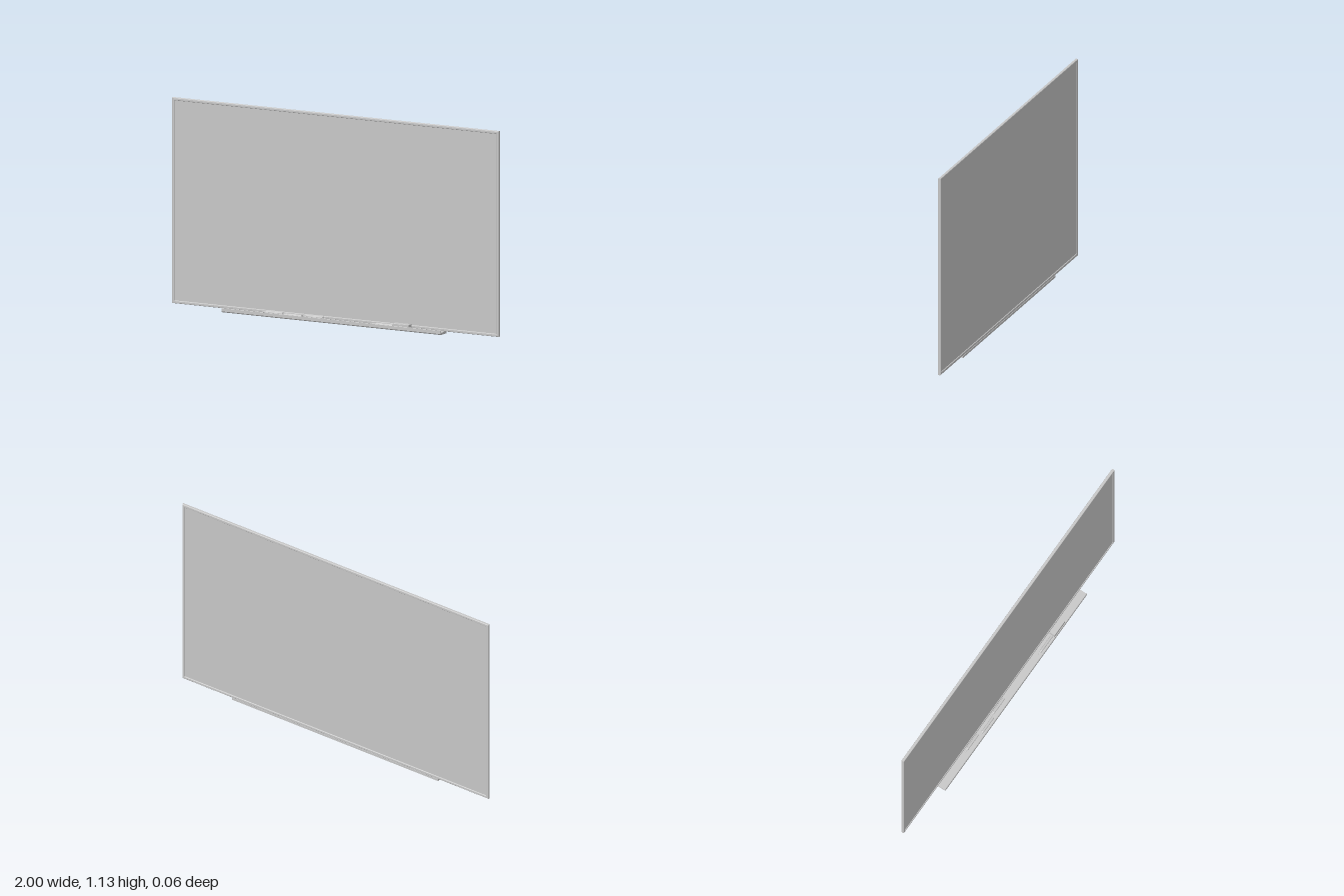
import * as THREE from 'three';

export function createModel() {
  const model = new THREE.Group();
  const grey = new THREE.MeshStandardMaterial({ color: 0xc7c7c7 });
  grey.name = 'light grey';

  const add = (name, geometry, x = 0, y = 0, z = 0) => {
    const mesh = new THREE.Mesh(geometry, grey);
    mesh.name = name;
    mesh.position.set(x, y, z);
    model.add(mesh);
    return mesh;
  };
  const polygon = (points) => points.map(([x, y]) => new THREE.Vector2(x, y));
  const rectangle = (x, y0, y1) => polygon([[-x, y0], [x, y0], [x, y1], [-x, y1]]);

  // Frame around the writing panel, with rounded edges
  const bottom = 0.012, top = 1.127, rim = 0.016, round = 0.004;
  const outer = round, inner = rim - round;
  const outline = new THREE.Shape(rectangle(1 - outer, bottom + outer, top - outer));
  outline.holes.push(new THREE.Path(rectangle(1 - inner, bottom + inner, top - inner)));
  add('frame', new THREE.ExtrudeGeometry(outline, {
    depth: 0.008, bevelThickness: round, bevelSize: round, bevelSegments: 3,
  }), 0, 0, -0.027);

  // Panel, recessed a little on both sides
  add('writingPanel', new THREE.BoxGeometry(2 - rim * 2, top - bottom - rim * 2, 0.008),
    0, (top + bottom) / 2, -0.023);

  // Tray: a side profile (z, y) swept along x, with a thin raised front lip
  const trayProfile = new THREE.Shape(polygon([
    [-0.031, 0], [0.027, 0], [0.031, 0.005], [0.031, 0.022], [0.0295, 0.0235],
    [0.028, 0.022], [0.028, 0.012], [-0.031, 0.012],
  ]));
  const trayLength = 1.344;
  const tray = add('tray', new THREE.ExtrudeGeometry(trayProfile,
    { depth: trayLength, bevelEnabled: false }), trayLength / 2);
  tray.rotation.y = -Math.PI / 2;

  // Eraser: a block with rounded upper edges
  const eraserProfile = new THREE.Shape();
  eraserProfile.moveTo(-0.017, 0);
  eraserProfile.lineTo(0.017, 0);
  eraserProfile.lineTo(0.017, 0.021);
  eraserProfile.quadraticCurveTo(0.017, 0.023, 0.015, 0.023);
  eraserProfile.lineTo(-0.015, 0.023);
  eraserProfile.quadraticCurveTo(-0.017, 0.023, -0.017, 0.021);
  const eraser = add('eraser', new THREE.ExtrudeGeometry(eraserProfile,
    { depth: 0.097, bevelEnabled: false, curveSegments: 4 }), 0.47, 0.012, 0.007);
  eraser.rotation.y = -Math.PI / 2;

  // Markers: lathed bodies lying on the tray with their tips to -x
  const markerProfile = polygon([
    [0, 0], [0.0075, 0], [0.0075, 0], [0.0075, 0.098],
    [0.0075, 0.098], [0.0035, 0.112], [0.0025, 0.122], [0, 0.124],
  ]);
  const markerGeometry = new THREE.LatheGeometry(markerProfile, 16);
  markerGeometry.rotateZ(Math.PI / 2);
  [[-0.315, -0.003], [-0.19, 0.01], [-0.068, -0.003], [0.366, 0.01]].forEach(([x, z], i) => {
    add('marker' + (i + 1), markerGeometry, x, 0.0195, z);
  });

  return model;
}
